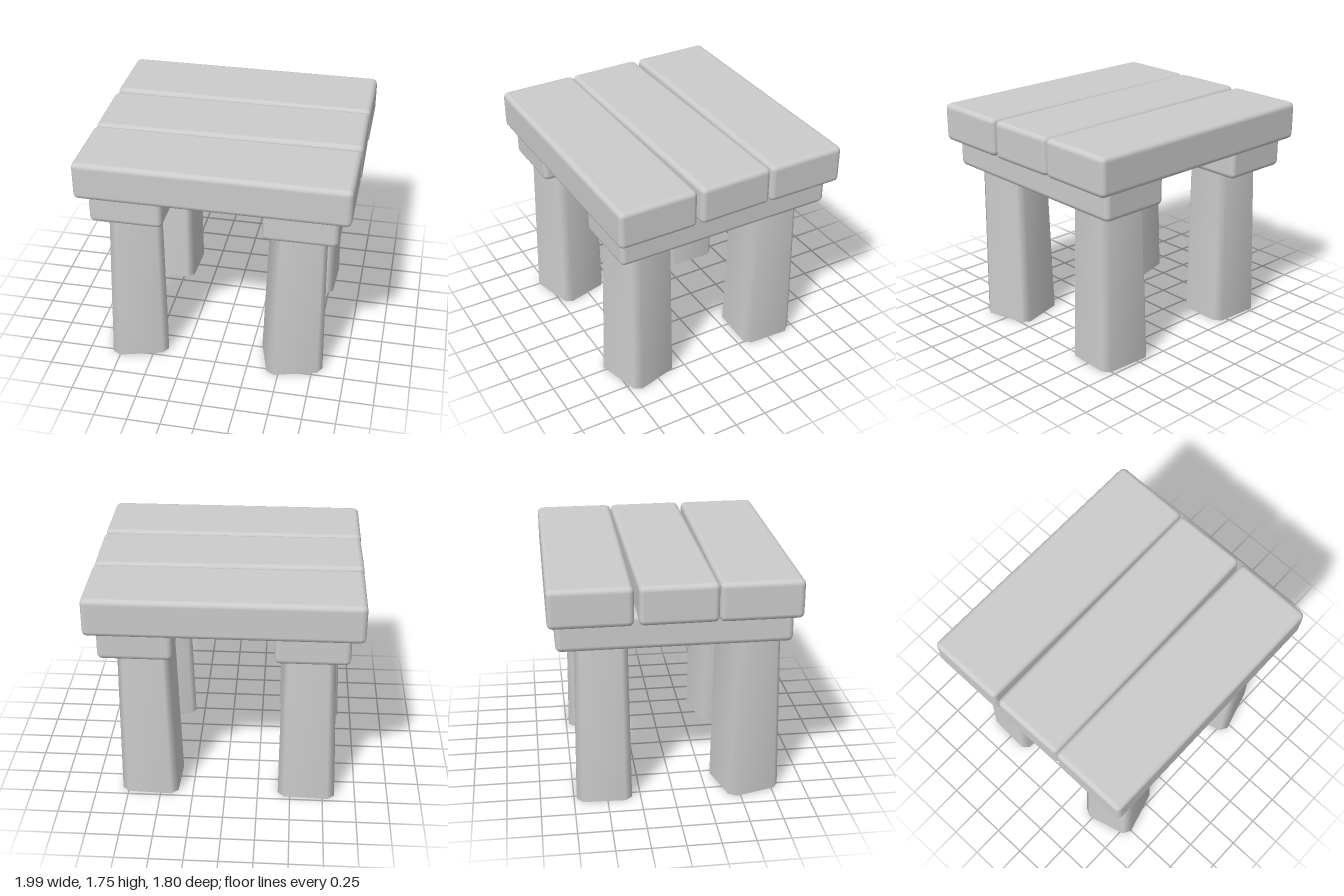
import * as THREE from 'three';
import { RoundedBoxGeometry } from 'three/addons/geometries/RoundedBoxGeometry.js';

const stone = new THREE.MeshStandardMaterial({ color: 0xcccccc });
const openStone = new THREE.MeshStandardMaterial({ color: 0xcccccc, side: THREE.DoubleSide });

// Block with softly bevelled edges
function block(name, size, position, turn = 0) {
  const mesh = new THREE.Mesh(new RoundedBoxGeometry(...size, 2, 0.04), stone);
  mesh.name = name;
  mesh.position.set(...position);
  mesh.rotation.y = turn;
  return mesh;
}

// Hollow tapering pillar: two chamfered-square rings joined by walls, open at the foot
function leg(name, x, z, turn, lean, w = 0.435, d = 0.415) {
  const height = 1.27, c = 0.05;
  const a = w / 2, b = d / 2;
  const ring = [
    [a, b - c], [a - c, b], [c - a, b], [-a, b - c],
    [-a, c - b], [c - a, -b], [a - c, -b], [a, c - b],
  ];
  const points = [], faces = [], n = ring.length;
  for (const [y, sx, sz] of [[0, 1, 1], [height, 0.875, 0.92]]) {
    for (const [px, pz] of ring) {
      const qx = px * sx, qz = pz * sz;
      points.push(
        qx * Math.cos(turn) + qz * Math.sin(turn) + (y ? lean : 0),
        y,
        qz * Math.cos(turn) - qx * Math.sin(turn),
      );
    }
  }
  for (let i = 0; i < n; i++) {
    const j = (i + 1) % n;
    faces.push(i, i + n, j, j, i + n, j + n);
  }
  const geometry = new THREE.BufferGeometry();
  geometry.setAttribute('position', new THREE.Float32BufferAttribute(points, 3));
  geometry.setIndex(faces);
  geometry.computeVertexNormals();
  const mesh = new THREE.Mesh(geometry, openStone);
  mesh.name = name;
  mesh.position.set(x, 0, z);
  return mesh;
}

export function createModel() {
  const model = new THREE.Group();
  model.name = 'stoneTable';

  // Three top slabs, the middle one slightly askew
  model.add(block('frontSlab', [1.985, 0.29, 0.6], [0, 1.605, 0.595]));
  model.add(block('middleSlab', [1.985, 0.29, 0.565], [0, 1.605, 0], 0.015));
  model.add(block('backSlab', [1.985, 0.29, 0.6], [0, 1.605, -0.6]));

  // Cross beams, running up into the slabs
  model.add(block('leftBeam', [0.54, 0.26, 1.69], [0.635, 1.38, 0]));
  model.add(block('rightBeam', [0.54, 0.26, 1.69], [-0.63, 1.38, 0]));

  // Legs: the front pair is turned, the back pair nearly square
  model.add(leg('frontLeftLeg', 0.575, 0.565, 0.27, 0.017));
  model.add(leg('frontRightLeg', -0.645, 0.565, 0.27, 0.017));
  model.add(leg('backLeftLeg', 0.575, -0.515, -0.04, 0.017));
  model.add(leg('backRightLeg', -0.63, -0.515, -0.04, 0.017));

  return model;
}
